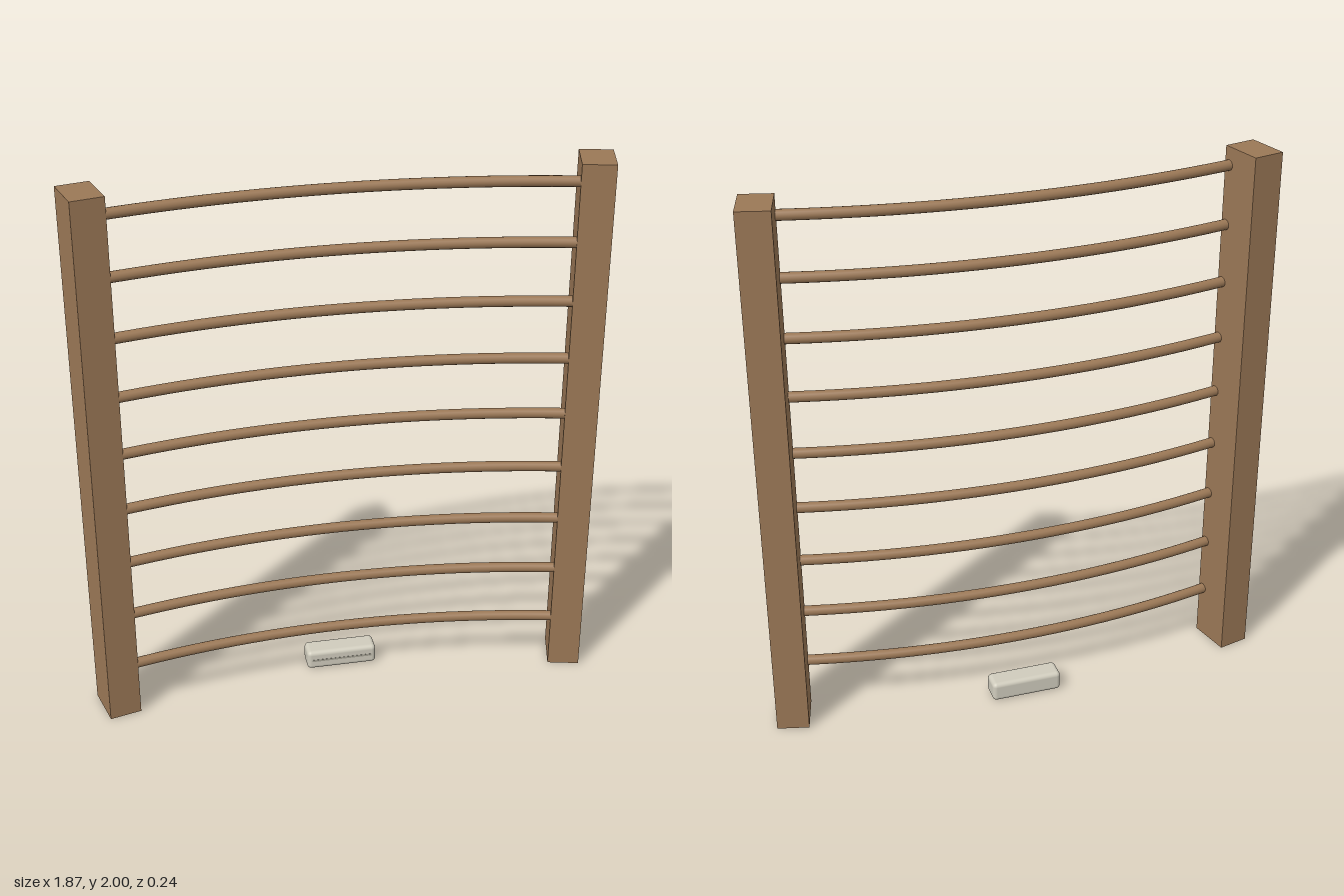
import * as THREE from 'three';
import { RoundedBoxGeometry } from 'three/addons/geometries/RoundedBoxGeometry.js';

const wood = new THREE.MeshStandardMaterial({ color: 0x9b7856 });
wood.name = 'wood';
const shell = new THREE.MeshStandardMaterial({ color: 0xd0ccbd });
shell.name = 'paleShell';
const slotGrey = new THREE.MeshStandardMaterial({ color: 0xa5a194 });
slotGrey.name = 'slotGrey';

function addMesh(parent, name, geometry, material, x, y, z) {
  const mesh = new THREE.Mesh(geometry, material);
  mesh.name = name;
  mesh.position.set(x, y, z);
  parent.add(mesh);
  return mesh;
}

// Circular arc in plan, bowing backwards in the middle
class RungArc extends THREE.Curve {
  getPoint(t, target = new THREE.Vector3()) {
    const radius = 3.47;
    const angle = (t * 2 - 1) * Math.asin(0.83 / radius);
    return target.set(radius * Math.sin(angle), 0, -0.02 + radius * (1 - Math.cos(angle)));
  }
}

export function createModel() {
  const model = new THREE.Group();
  model.name = 'curvedRail';

  // Two square-edged posts, turned to follow the ends of the arc
  const postGeometry = new THREE.BoxGeometry(0.117, 2, 0.16);
  for (const side of [-1, 1]) {
    const post = addMesh(model, side > 0 ? 'leftPost' : 'rightPost', postGeometry, wood, side * 0.857, 1, 0.0275);
    post.rotation.y = -side * THREE.MathUtils.degToRad(14);
  }

  // Nine curved rungs, their ends buried in the posts
  const rungs = new THREE.Group();
  rungs.name = 'rungs';
  model.add(rungs);
  const rungGeometry = new THREE.TubeGeometry(new RungArc(), 24, 0.019, 16, false);
  for (let i = 0; i < 9; i++) {
    addMesh(rungs, 'rung', rungGeometry, wood, 0, 0.203 + i * 0.2165, 0);
  }

  // Small rounded control box behind the lowest rung
  const box = new THREE.Group();
  box.name = 'controlBox';
  box.position.set(0, 0.0375, -0.0825);
  model.add(box);
  addMesh(box, 'boxShell', new RoundedBoxGeometry(0.265, 0.075, 0.085, 4, 0.016), shell, 0, 0, 0);
  addMesh(box, 'boxSlot', new THREE.BoxGeometry(0.23, 0.008, 0.004), slotGrey, 0, 0, 0.0415);

  return model;
}
